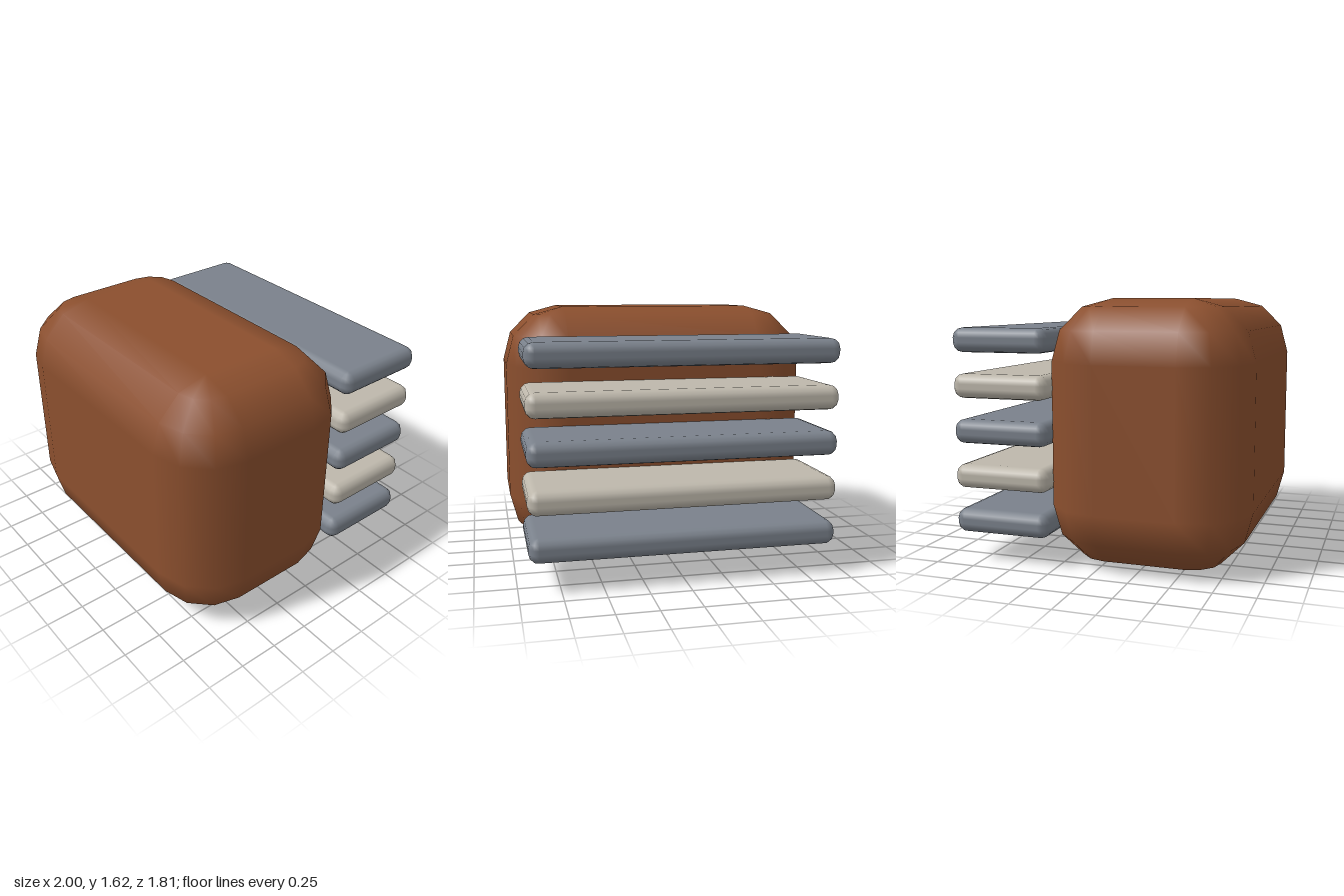
import * as THREE from 'three';

// Block with every edge and corner rounded by n facets, shaded smooth.
// Built as a stack of rounded-rectangle rings.
function roundedBlock(w, h, d, r, n = 3) {
  const pos = [], nor = [], idx = [];
  const count = 4 * (n + 1);
  const step = Math.PI / 2 / n;
  const rows = [];
  for (let k = -n; k <= 0; k++) rows.push([k * step, -1]);
  for (let k = 0; k <= n; k++) rows.push([k * step, 1]);

  for (const [phi, sy] of rows) {
    for (let c = 0; c < 4; c++) {
      const sx = c === 0 || c === 3 ? 1 : -1;
      const sz = c < 2 ? 1 : -1;
      for (let k = 0; k <= n; k++) {
        const a = c * Math.PI / 2 + k * step;
        const nx = Math.cos(phi) * Math.cos(a);
        const ny = Math.sin(phi);
        const nz = Math.cos(phi) * Math.sin(a);
        pos.push(sx * (w / 2 - r) + r * nx, sy * (h / 2 - r) + r * ny, sz * (d / 2 - r) + r * nz);
        nor.push(nx, ny, nz);
      }
    }
  }
  // Side walls
  for (let j = 0; j < rows.length - 1; j++) {
    for (let i = 0; i < count; i++) {
      const a = j * count + i, b = j * count + (i + 1) % count;
      idx.push(a, a + count, b + count, a, b + count, b);
    }
  }
  // Flat bottom and top
  const top = (rows.length - 1) * count;
  for (let i = 1; i < count - 1; i++) {
    idx.push(0, i, i + 1, top, top + i + 1, top + i);
  }
  const geo = new THREE.BufferGeometry();
  geo.setAttribute('position', new THREE.Float32BufferAttribute(pos, 3));
  geo.setAttribute('normal', new THREE.Float32BufferAttribute(nor, 3));
  geo.setIndex(idx);
  return geo;
}

export function createModel() {
  const group = new THREE.Group();
  const brown = new THREE.MeshStandardMaterial({ color: 0x8b4f2e });
  const slate = new THREE.MeshStandardMaterial({ color: 0x7a818b });
  const cream = new THREE.MeshStandardMaterial({ color: 0xbdb7ab });

  // Main rounded body
  const body = new THREE.Mesh(roundedBlock(2, 1.625, 1.245, 0.375), brown);
  body.name = 'body';
  body.position.set(0, 0.8125, 0.2825);
  group.add(body);

  // Stack of alternating plates behind the body
  const plateGeo = roundedBlock(1.875, 0.15, 0.62, 0.06);
  const plates = new THREE.Group();
  plates.name = 'backPlates';
  for (let i = 0; i < 5; i++) {
    const plate = new THREE.Mesh(plateGeo, i % 2 ? cream : slate);
    plate.name = i % 2 ? 'lightPlate' : 'darkPlate';
    plate.position.set(0, 0.255 + i * 0.28, -0.595);
    plates.add(plate);
  }
  group.add(plates);
  return group;
}
